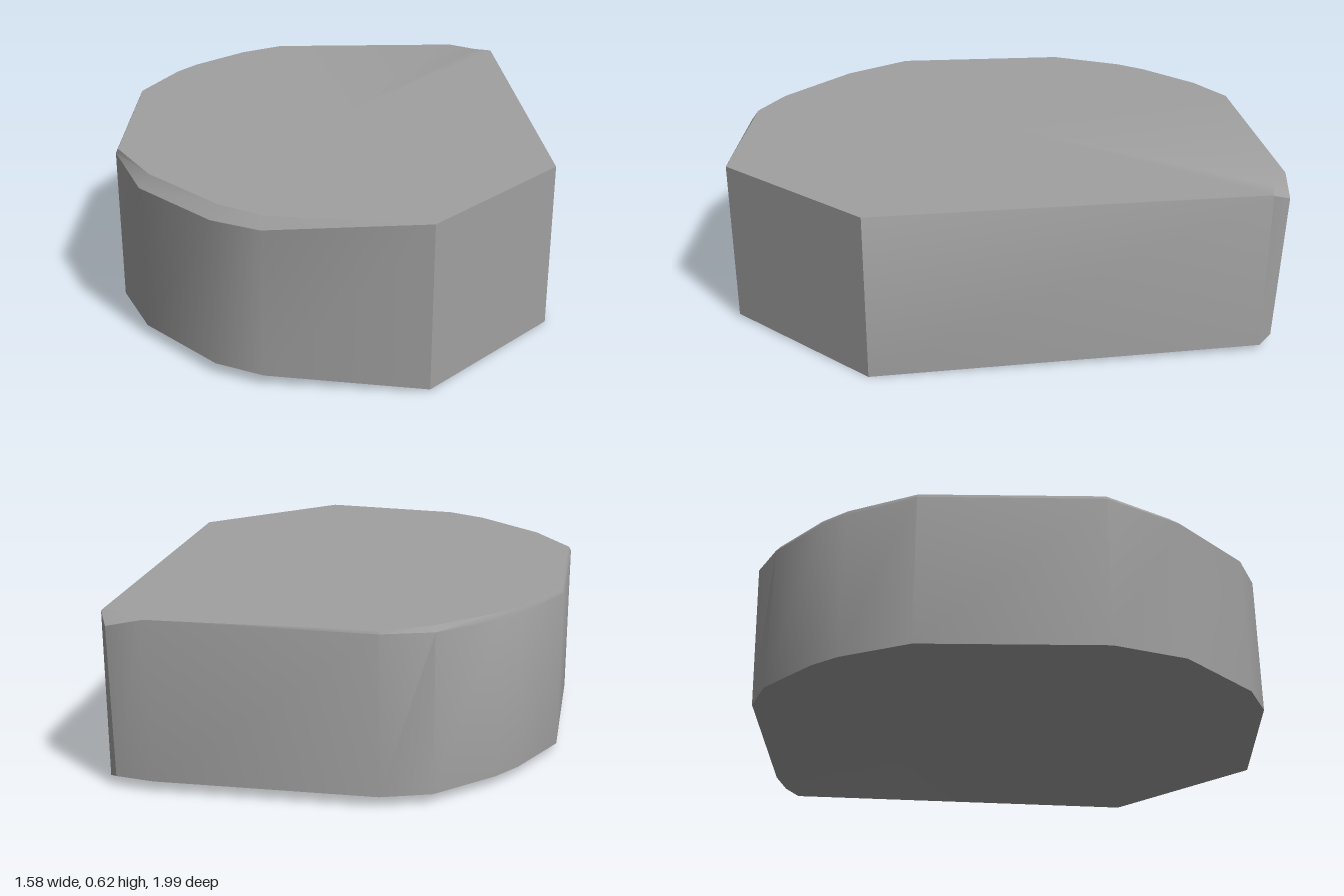
import * as THREE from 'three';
import { toCreasedNormals } from 'three/addons/utils/BufferGeometryUtils.js';

// Outline, counter-clockwise from above: x, z, bottom height, rim height, top inset
const OUTLINE = [
  [0.33, 0.99, 0.01, 0.62, 0], [0.79, 0.50, 0, 0.62, 0],
  [0.72, -0.91, 0.02, 0.615, 0.004], [0.68, -0.98, 0.04, 0.585, 0.05],
  [0.54, -1.0, 0.04, 0.62, 0], [-0.24, -0.98, 0.04, 0.61, 0.005],
  [-0.41, -0.89, 0.035, 0.60, 0.015], [-0.60, -0.70, 0.035, 0.60, 0.01],
  [-0.67, -0.60, 0.035, 0.60, 0.008], [-0.79, -0.34, 0.03, 0.605, 0.01],
  [-0.79, 0.33, 0.03, 0.605, 0.01], [-0.67, 0.60, 0.04, 0.58, 0.05],
  [-0.40, 0.87, 0.04, 0.58, 0.05], [-0.23, 0.95, 0.04, 0.58, 0.03],
];
const TOP = 0.62;

function blockGeometry() {
  // Rings from the underside up to the flat top
  const rings = [
    OUTLINE.map(([x, z, b]) => [x, b, z < -0.93 ? z + 0.02 : z]),
    OUTLINE.map(([x, z, , t]) => [x, t, z]),
    OUTLINE.map(([x, z, , , s]) => [x * (1 - s), TOP, z * (1 - s)]),
  ];
  const pos = [];
  const tri = (...corners) => corners.forEach((c) => pos.push(...c));
  const n = OUTLINE.length;
  for (let i = 0; i < n; i++) {
    const j = (i + 1) % n;
    // Walls and worn upper edge
    for (let r = 0; r < 2; r++) {
      const lo = rings[r], hi = rings[r + 1];
      if (r === 1 && lo[i][1] === TOP && lo[j][1] === TOP) continue;
      if (lo[j][1] !== hi[j][1]) tri(lo[i], lo[j], hi[j]);
      if (lo[i][1] !== hi[i][1]) tri(lo[i], hi[j], hi[i]);
    }
    // Top and underside
    tri([0, TOP, 0], rings[2][i], rings[2][j]);
    tri([0, 0.016, 0], rings[0][j], rings[0][i]);
  }
  const geometry = new THREE.BufferGeometry();
  geometry.setAttribute('position', new THREE.Float32BufferAttribute(pos, 3));
  return toCreasedNormals(geometry, 0.56);
}

export function createModel() {
  const stone = new THREE.MeshStandardMaterial({ color: 0xa0a0a0 });
  stone.name = 'stone grey';
  const block = new THREE.Mesh(blockGeometry(), stone);
  block.name = 'stoneBlock';
  const model = new THREE.Group();
  model.name = 'stone';
  model.add(block);
  return model;
}
